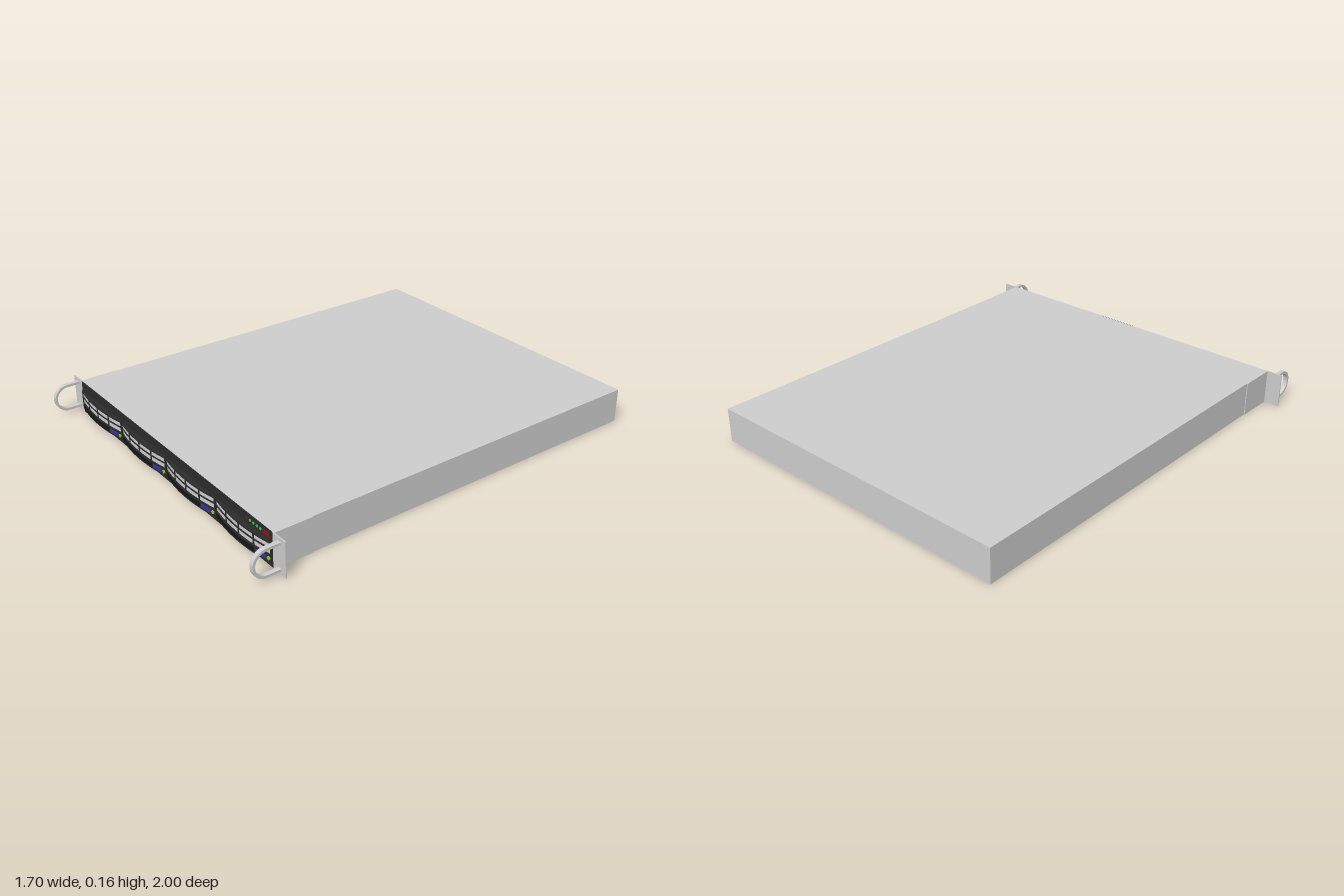
import * as THREE from 'three';

const mat = (color) => new THREE.MeshStandardMaterial({ color });
const GREY = mat(0xcccccc), DARK = mat(0x2b2b2b), BLACK = mat(0x161616);
const BLUE = mat(0x34349c), GREEN = mat(0x33cc44), LIME = mat(0x88cc22), RED = mat(0x8c1616);
const HALF = 0.19; // half the width of a drive bay

function add(parent, name, geometry, material, x = 0, y = 0, z = 0) {
  const mesh = new THREE.Mesh(geometry, material);
  mesh.name = name;
  mesh.position.set(x, y, z);
  parent.add(mesh);
  return mesh;
}

function box(parent, name, material, x0, x1, y0, y1, z0, z1) {
  return add(parent, name, new THREE.BoxGeometry(x1 - x0, y1 - y0, z1 - z0), material,
    (x0 + x1) / 2, (y0 + y1) / 2, (z0 + z1) / 2);
}

// Bowed front of a bay at a local x
const bow = (x) => 0.883 + 0.02 * (1 - (x / HALF) ** 2);

// Block whose front follows the bow, raised or sunk by offset
function bowed(parent, name, material, x0, x1, y0, y1, offset = 0) {
  const shape = new THREE.Shape();
  const n = Math.max(2, Math.ceil((x1 - x0) / 0.024));
  shape.moveTo(x0, -0.868);
  for (let i = 0; i <= n; i++) {
    const x = x0 + (x1 - x0) * i / n;
    shape.lineTo(x, -(bow(x) + offset));
  }
  shape.lineTo(x1, -0.868);
  const geometry = new THREE.ExtrudeGeometry(shape, { depth: y1 - y0, bevelEnabled: false });
  geometry.rotateX(-Math.PI / 2);
  return add(parent, name, geometry, material, 0, y0, 0);
}

function lamp(parent, name, material, x, y, z, r) {
  const geometry = new THREE.CylinderGeometry(r, r, 0.006, 12).rotateX(Math.PI / 2);
  return add(parent, name, geometry, material, x, y, z);
}

function createBay() {
  const bay = new THREE.Group();
  bay.name = 'driveBay';
  // Light vent panel sunk behind a dark grille
  bowed(bay, 'ventPanel', GREY, -HALF + 0.002, HALF - 0.002, 0.056, 0.108, -0.003);
  for (const [y0, y1] of [[0.106, 0.113], [0.081, 0.087], [0.053, 0.06]])
    bowed(bay, 'grilleBar', DARK, -HALF, HALF, y0, y1);
  for (let i = 0; i <= 4; i++) {
    const x = (i - 2) * 0.0935;
    bowed(bay, 'grilleDivider', DARK, x - 0.003, x + 0.003, 0.058, 0.108);
  }
  // Lower latch strip with grip, release button and lamp
  bowed(bay, 'latchStrip', DARK, -HALF, HALF, 0.022, 0.055);
  bowed(bay, 'latchGrip', BLACK, -0.182, 0.098, 0.03, 0.05, 0.002);
  bowed(bay, 'releaseButton', BLUE, 0.108, 0.164, 0.032, 0.05, 0.002);
  lamp(bay, 'driveLamp', LIME, 0.177, 0.041, bow(0.177) + 0.001, 0.008);
  return bay;
}

// Flat mounting ear, side flange and arched pull handle for the +x side
function createEar() {
  const ear = new THREE.Group();
  ear.name = 'rackEar';
  box(ear, 'earPlate', GREY, 0.768, 0.848, 0, 0.158, 0.872, 0.877);
  box(ear, 'earFlange', GREY, 0.766, 0.776, 0, 0.158, 0.7, 0.876);
  const outer = 0.0635, inner = 0.052, bend = 0.9365 - 0.875;
  const arch = new THREE.Shape();
  arch.moveTo(0, -outer);
  arch.lineTo(bend, -outer);
  arch.absarc(bend, 0, outer, -Math.PI / 2, Math.PI / 2, false);
  arch.lineTo(0, outer);
  arch.lineTo(0, inner);
  arch.lineTo(bend, inner);
  arch.absarc(bend, 0, inner, Math.PI / 2, -Math.PI / 2, true);
  arch.lineTo(0, -inner);
  const geometry = new THREE.ExtrudeGeometry(arch, { depth: 0.02, bevelEnabled: false, curveSegments: 20 });
  geometry.rotateY(-Math.PI / 2);
  add(ear, 'pullHandle', geometry, GREY, 0.82, 0.078, 0.875);
  return ear;
}

export function createModel() {
  const model = new THREE.Group();
  model.name = 'rackServer';

  box(model, 'chassis', GREY, -0.772, 0.772, 0, 0.158, -1, 0.874);
  box(model, 'frontBezel', DARK, -0.768, 0.768, 0.002, 0.156, 0.87, 0.878);

  for (let i = 0; i < 4; i++) {
    const bay = createBay();
    bay.position.x = (i - 1.5) * 0.384;
    model.add(bay);
  }

  // Status lamps and power button
  lamp(model, 'faultLamp', RED, 0.602, 0.134, 0.878, 0.005);
  for (let i = 0; i < 4; i++)
    lamp(model, 'statusLamp', GREEN, 0.625 + i * 0.0228, 0.134, 0.878, 0.006);
  box(model, 'powerButton', RED, 0.71, 0.752, 0.126, 0.142, 0.874, 0.881);

  // Mirrored ears: the left one is turned over, since it is symmetric in height
  const left = createEar();
  const right = createEar();
  right.rotation.z = Math.PI;
  right.position.y = 0.158;
  model.add(left, right);
  return model;
}
